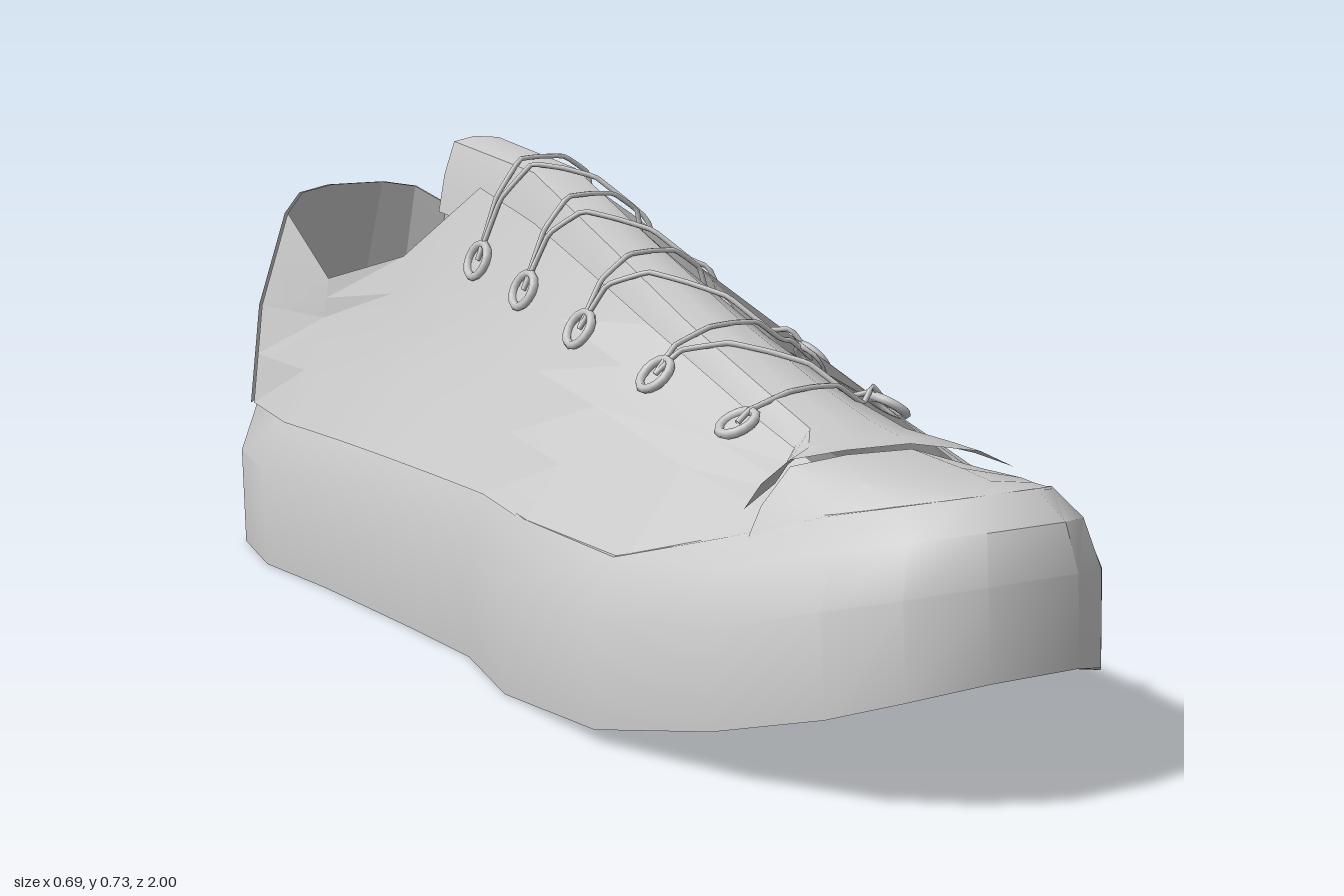
import * as THREE from 'three';
import { toCreasedNormals } from 'three/addons/utils/BufferGeometryUtils.js';

const V = (x, y, z) => new THREE.Vector3(x, y, z);
const material = new THREE.MeshStandardMaterial({ color: 0xcccccc, side: THREE.DoubleSide });

// Piecewise linear lookup in a list of rows sorted by falling first value
function lookup(rows, z, col = 1) {
  if (z >= rows[0][0]) return rows[0][col];
  for (let i = 1; i < rows.length; i++) {
    if (z >= rows[i][0]) {
      const t = (z - rows[i][0]) / (rows[i - 1][0] - rows[i][0]);
      return THREE.MathUtils.lerp(rows[i][col], rows[i - 1][col], t);
    }
  }
  return rows[rows.length - 1][col];
}

// Surface through rows of points, creased where faces meet at more than the angle
function loft(rows, crease) {
  const pos = [], idx = [], n = rows[0].length;
  rows.forEach(r => r.forEach(p => pos.push(p.x, p.y, p.z)));
  for (let i = 0; i < rows.length - 1; i++) {
    for (let j = 0; j < n - 1; j++) {
      const a = i * n + j, d = a + n;
      idx.push(a, a + 1, d + 1, a, d + 1, d);
    }
  }
  const g = new THREE.BufferGeometry();
  g.setAttribute('position', new THREE.Float32BufferAttribute(pos, 3));
  g.setIndex(idx);
  return toCreasedNormals(g, crease);
}

// Sole outline: z, right-hand edge (-x), left-hand edge (+x)
const outline = [
  [1, -0.1, 0.04], [0.95, -0.19, 0.12], [0.87, -0.255, 0.19], [0.7, -0.31, 0.27],
  [0.47, -0.347, 0.325], [0.2, -0.335, 0.347], [0, -0.285, 0.3], [-0.2, -0.283, 0.285],
  [-0.5, -0.287, 0.265], [-0.7, -0.3, 0.237], [-0.88, -0.26, 0.185], [-0.96, -0.18, 0.115],
  [-1, -0.08, 0.035],
];
const soleBottom = [[1, 0.175], [0.9, 0.13], [0.74, 0.08], [0.5, 0.022], [0.25, 0], [-0.88, 0], [-1, 0.045]];
const soleTop = [[1, 0.355], [0.87, 0.325], [0.7, 0.275], [0.47, 0.248], [-1, 0.248]];
const shelfRise = [[1, 0.033], [0.7, 0.03], [0.47, 0]];

// Upper stations, front to heel: z of base, mid, edge; x of base, mid, edge (-x, +x); y of base, mid, edge
const upper = [
  [0.67, 0.67, 0.67, -0.25, 0.22, -0.2, 0.17, -0.1, 0.1, 0.27, 0.335, 0.37],
  [0.48, 0.48, 0.48, -0.3, 0.275, -0.21, 0.2, -0.1, 0.108, 0.245, 0.365, 0.425],
  [0.2, 0.2, 0.2, -0.295, 0.305, -0.18, 0.183, -0.09, 0.106, 0.245, 0.4, 0.51],
  [0, 0, 0, -0.256, 0.27, -0.16, 0.172, -0.08, 0.105, 0.245, 0.42, 0.57],
  [-0.16, -0.16, -0.16, -0.254, 0.257, -0.16, 0.172, -0.076, 0.106, 0.245, 0.425, 0.62],
  [-0.34, -0.34, -0.33, -0.255, 0.25, -0.165, 0.175, -0.078, 0.115, 0.245, 0.425, 0.66],
  [-0.48, -0.48, -0.47, -0.258, 0.24, -0.185, 0.18, -0.145, 0.15, 0.245, 0.42, 0.54],
  [-0.68, -0.66, -0.65, -0.268, 0.215, -0.2, 0.18, -0.195, 0.163, 0.245, 0.42, 0.487],
  [-0.88, -0.915, -0.86, -0.235, 0.168, -0.2, 0.145, -0.172, 0.135, 0.245, 0.41, 0.575],
  [-0.96, -0.96, -0.89, -0.165, 0.105, -0.15, 0.095, -0.13, 0.09, 0.245, 0.41, 0.606],
  [-0.997, -0.987, -0.91, -0.075, 0.035, -0.07, 0.03, -0.065, 0.035, 0.245, 0.41, 0.615],
];

// Tongue stations, front to back: z, top y, -x side, +x side, drop at the sides
const tongue = [
  [0.68, 0.408, -0.245, 0.19, 0.06], [0.64, 0.411, -0.17, 0.155, 0.045], [0.58, 0.422, -0.11, 0.112, 0.045],
  [0.45, 0.455, -0.092, 0.104, 0.06], [0.25, 0.52, -0.084, 0.102, 0.08], [0, 0.612, -0.072, 0.1, 0.1],
  [-0.22, 0.698, -0.07, 0.1, 0.115], [-0.46, 0.73, -0.085, 0.1, 0.12],
];

// Arched cross-section between two sides
const arch = ([z, y, l, r, drop]) =>
  [[0, 1], [0.06, 0.5], [0.16, 0.06], [0.36, 0], [0.6, 0.03], [0.87, 0.4], [1, 0.85]]
    .map(([t, d]) => V(THREE.MathUtils.lerp(l, r, t), y - drop * d, z));

// Point on the upper wall: row 0 base, 1 mid, 2 edge; side 0 is -x, 1 is +x
const wall = (s, row, side) => V(s[3 + row * 2 + side], s[9 + row], s[row]);
const wallAt = (z, row, side) => V(lookup(upper, z, 3 + row * 2 + side), lookup(upper, z, 9 + row), z);

// Wall rows from base to edge, with a row between each pair
function upperRows(stations, grow = 0) {
  return [0, 0.5, 1, 1.5, 2].map(r => {
    const at = (s, side) => {
      const p = wall(s, Math.floor(r), side).lerp(wall(s, Math.ceil(r), side), r % 1);
      return V(p.x + Math.sign(p.x) * grow, p.y, p.z - grow);
    };
    return [...stations.map(s => at(s, 1)), ...[...stations].reverse().map(s => at(s, 0))];
  });
}

function soleRing(sx, zFront, height) {
  const ring = [];
  const add = (x, z) => ring.push(V(x * sx, height(z), z > 0 ? z * zFront : z));
  outline.forEach(o => add(o[2], o[0]));
  [...outline].reverse().forEach(o => add(o[1], o[0]));
  ring.push(ring[0].clone());
  return ring;
}

export function createModel() {
  const model = new THREE.Group();
  const add = (name, geometry, parent = model) => {
    const m = new THREE.Mesh(geometry, material);
    m.name = name;
    parent.add(m);
    return m;
  };
  const group = name => {
    const g = new THREE.Group();
    g.name = name;
    model.add(g);
    return g;
  };

  // Sole: bottom, bulging wall, rounded rim and insole
  const bot = z => lookup(soleBottom, z), top = z => lookup(soleTop, z);
  const bottomRing = soleRing(0.985, 1, bot);
  const shelfRing = soleRing(0.78, 0.92, z => top(z) + lookup(shelfRise, z));
  add('sole', loft([
    bottomRing.map(() => V(0, 0, 0)),
    bottomRing,
    soleRing(1, 0.993, z => THREE.MathUtils.lerp(bot(z), top(z), 0.66)),
    soleRing(0.875, 0.972, top),
    shelfRing,
    shelfRing.map(() => V(0, 0.248, 0)),
  ], 0.6));

  // Upper walls, collar and heel
  add('upper', loft(upperRows(upper), 0.12));
  add('heelCounter', loft(upperRows(upper.slice(-3), 0.004), 0.12));

  // Toe cap
  add('toeCap', loft([
    [0.92, 0.388, -0.085, 0.05, 0.004], [0.87, 0.393, -0.155, 0.1, 0.025],
    [0.8, 0.397, -0.205, 0.15, 0.06], [0.68, 0.402, -0.245, 0.195, 0.105],
  ].map(arch), 0.6));

  // Tongue with flared front
  add('tongue', loft(tongue.map(arch), 0.6));

  // Eyelets on both walls
  const eyeZ = [-0.27, -0.12, 0.06, 0.28, 0.48];
  const eyeDepth = [0.42, 0.46, 0.47, 0.36, 0.2];
  const eyelets = group('eyelets');
  const ringGeo = new THREE.TorusGeometry(0.027, 0.007, 6, 14);
  const eyes = [0, 1].map(side => eyeZ.map((z, i) => {
    const edge = wallAt(z, 2, side), mid = wallAt(z, 1, side);
    const normal = mid.clone().sub(edge).cross(V(0, 0, 1)).normalize();
    if (normal.y < 0) normal.negate();
    const p = edge.lerp(mid, eyeDepth[i]).addScaledVector(normal, 0.003);
    const ring = add('eyelet', ringGeo, eyelets);
    ring.position.copy(p);
    ring.quaternion.setFromUnitVectors(V(0, 0, 1), normal);
    return p;
  }));

  // Laces over the tongue: bars tuck under the +x wall, diagonals run outside it
  const laces = group('laces');
  const lace = (name, pts) => add(name, new THREE.TubeGeometry(
    new THREE.CatmullRomCurve3(pts, false, 'catmullrom', 0.1), 36, 0.004, 6), laces);
  const over = (a, b, tucked) => {
    const at = (t, rise) => {
      const z = THREE.MathUtils.lerp(a.z, b.z, t);
      return V(THREE.MathUtils.lerp(-0.09, 0.113, t), lookup(tongue, z) + rise, z);
    };
    const rim = (t, side) => {
      const p = wallAt(THREE.MathUtils.lerp(a.z, b.z, t), 2, side);
      return p.add(V(side ? 0.004 : -0.004, 0.006, 0));
    };
    const end = tucked
      ? [V(0.1, b.y + 0.03, b.z), b]
      : [rim(0.93, 1), b];
    return [a, rim(0.08, 0), at(0.25, 0.003), at(0.45, 0.006), at(0.65, 0.004), at(0.86, -0.025), ...end];
  };
  eyeZ.forEach((z, i) => {
    lace('laceBar', over(eyes[0][i], eyes[1][i], true));
    if (i < eyeZ.length - 1) lace('laceDiagonal', over(eyes[0][i], eyes[1][i + 1], false));
  });

  // Loose lace end
  const start = eyes[1][0];
  lace('laceEnd', [start, V(start.x + 0.018, start.y - 0.015, start.z), V(0.184, 0.43, start.z)]);

  return model;
}
